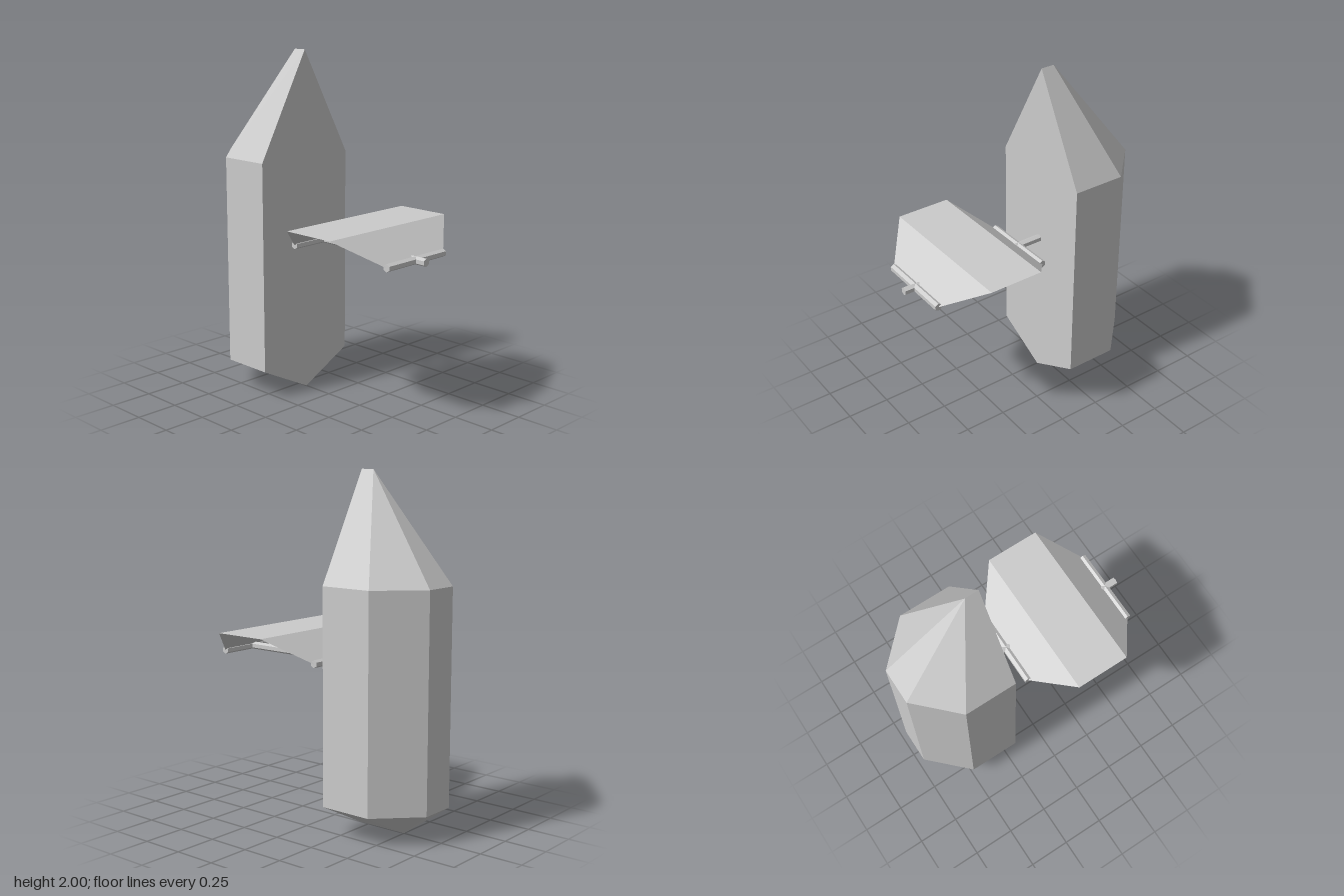
import * as THREE from 'three';
import { ConvexGeometry } from 'three/addons/geometries/ConvexGeometry.js';

const material = new THREE.MeshStandardMaterial({ color: 0xcccccc, flatShading: true });
const thinMaterial = new THREE.MeshStandardMaterial({ color: 0xcccccc, flatShading: true, side: THREE.DoubleSide });

function addMesh(parent, name, geometry, mat = material) {
  const mesh = new THREE.Mesh(geometry, mat);
  mesh.name = name;
  parent.add(mesh);
  return mesh;
}

// Six-sided rod lying along z, with a corner pointing up
function rodGeometry(length) {
  return new THREE.CylinderGeometry(0.0225, 0.0225, length, 6).rotateX(Math.PI / 2);
}

// Half-octagonal tower, gabled to a ridge above and a keel below
function towerGeometry() {
  const points = [];
  const halfPlan = [[0.33, -0.19], [0.33, -0.5], [0.105, -0.725]];
  for (const y of [0.17, 1.39])
    for (const [x, z] of halfPlan)
      for (const side of [-1, 1]) points.push(new THREE.Vector3(side * x, y, z));
  for (const [y, z] of [[2, -0.19], [2, -0.27], [0, -0.19], [0, -0.5]])
    points.push(new THREE.Vector3(0, y, z));
  return new ConvexGeometry(points);
}

// Thin sheet across x, from rows of [half width, y, z] running back to front
function canopyGeometry(rows) {
  const positions = [];
  const index = [];
  rows.forEach(([w, y, z], i) => {
    positions.push(-w, y, z, w, y, z);
    if (i > 0) {
      const a = 2 * (i - 1);
      index.push(a, a + 2, a + 3, a, a + 3, a + 1);
    }
  });
  const geometry = new THREE.BufferGeometry();
  geometry.setAttribute('position', new THREE.Float32BufferAttribute(positions, 3));
  geometry.setIndex(index);
  const flat = geometry.toNonIndexed();
  flat.computeVertexNormals();
  return flat;
}

export function createModel() {
  const model = new THREE.Group();
  model.name = 'towerWithCanopy';
  const rodY = 0.935;
  const barZ = [-0.04, 0.65];

  addMesh(model, 'tower', towerGeometry());

  // Long rod reaching forward from the tower
  addMesh(model, 'mainRod', rodGeometry(0.915)).position.set(0, rodY, 0.2675);

  // Cross bars holding the ends of the canopy
  barZ.forEach((z, i) => {
    const bar = addMesh(model, i ? 'frontCrossBar' : 'backCrossBar', rodGeometry(0.46).rotateY(Math.PI / 2));
    bar.position.set(0, rodY, z);
  });

  // Canopy: flat middle, sloping down to the bar at each end
  addMesh(model, 'canopy', canopyGeometry([
    [0.23, rodY, barZ[0]],
    [0.46, 1.085, 0.145],
    [0.46, 1.085, 0.465],
    [0.23, rodY, barZ[1]],
  ]), thinMaterial);

  return model;
}
